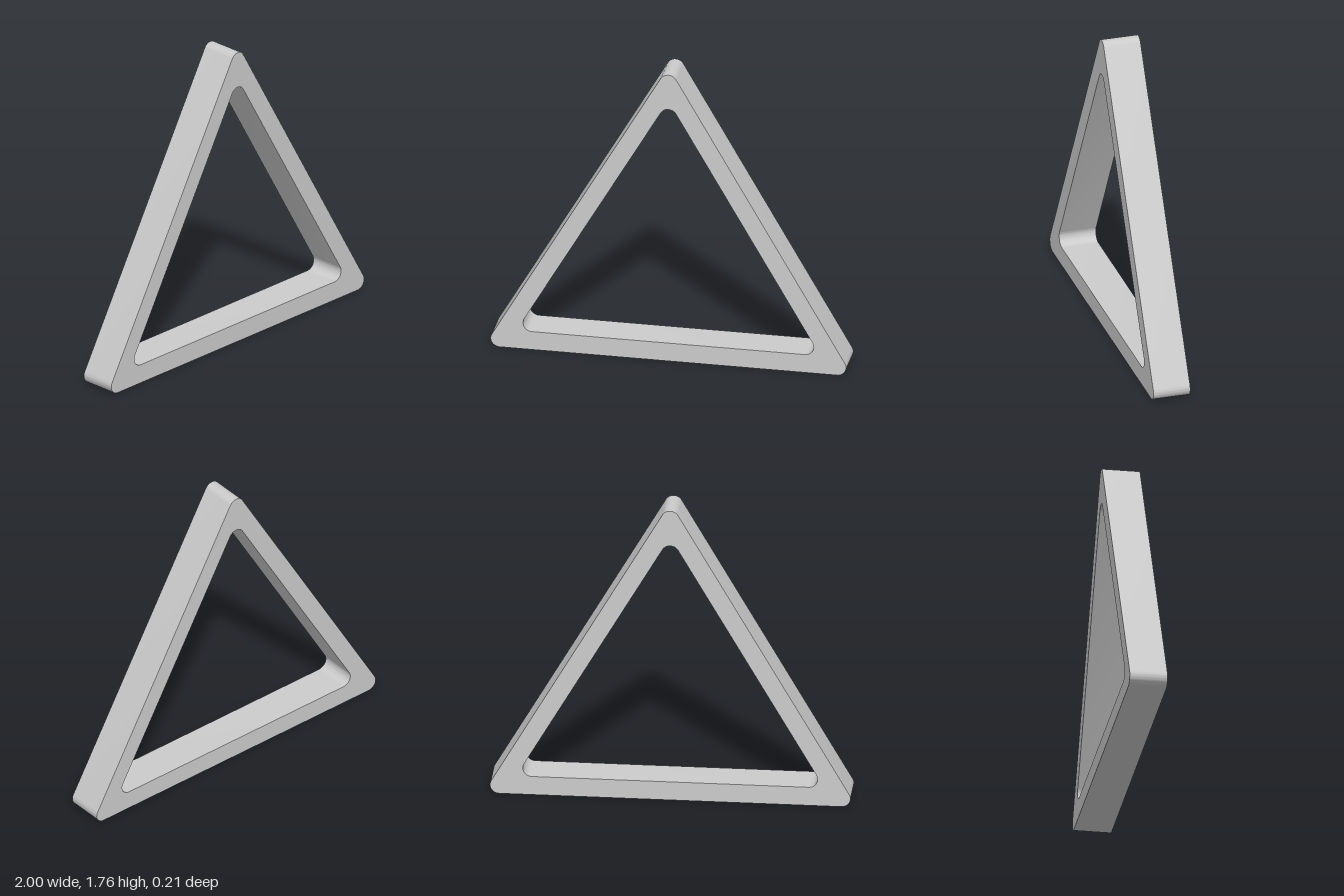
import * as THREE from 'three';
import { toCreasedNormals } from 'three/addons/utils/BufferGeometryUtils.js';

const DEPTH = 0.212;
const CORNER = 0.05;

// Traces a triangle with rounded corners: half and height span the corner centres.
function roundedTriangle(path, half, base, height) {
  const a = Math.atan2(half, height); // direction the right side faces
  const y = base + CORNER;
  path.absarc(half, y, CORNER, -Math.PI / 2, a, false);
  path.absarc(0, y + height, CORNER, a, Math.PI - a, false);
  path.absarc(-half, y, CORNER, Math.PI - a, Math.PI * 1.5, false);
  path.closePath();
  return path;
}

export function createModel() {
  const group = new THREE.Group();
  group.name = 'triangleFrame';

  // Outer outline with the opening cut through it
  const outline = roundedTriangle(new THREE.Shape(), 0.95, 0, 1.656);
  outline.holes.push(roundedTriangle(new THREE.Path(), 0.768, 0.11, 1.335));

  const solid = new THREE.ExtrudeGeometry(outline, {
    depth: DEPTH, bevelEnabled: false, curveSegments: 8,
  });
  solid.translate(0, 0, -DEPTH / 2);

  const frame = new THREE.Mesh(
    toCreasedNormals(solid, 0.6),
    new THREE.MeshStandardMaterial({ color: 0xcccccc }),
  );
  frame.name = 'frame';
  group.add(frame);
  return group;
}
